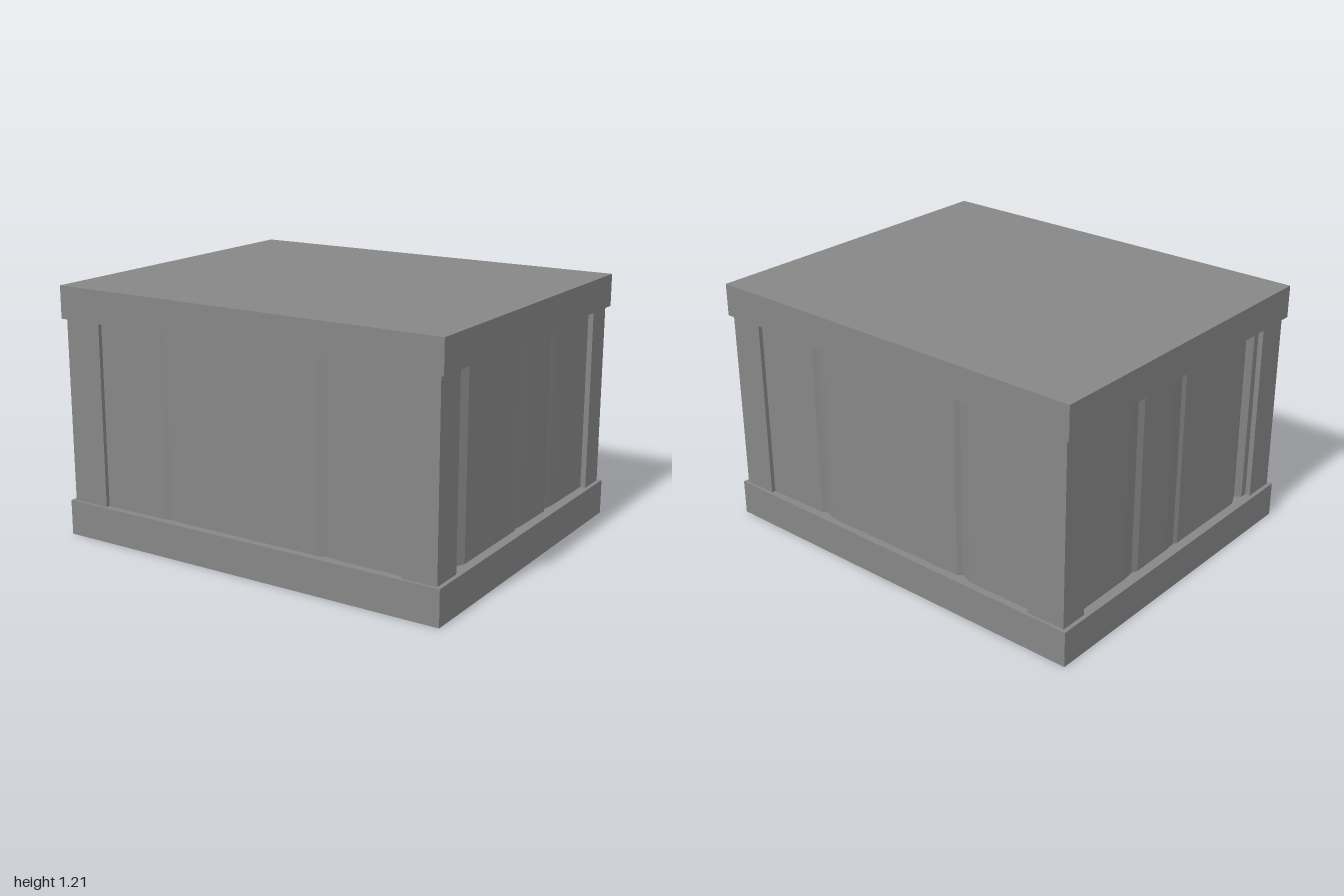
import * as THREE from 'three';

const material = new THREE.MeshStandardMaterial({ color: 0x868686, flatShading: true });

// Box given by its minimum and maximum corners
function box(name, [x0, y0, z0], [x1, y1, z1]) {
  const mesh = new THREE.Mesh(new THREE.BoxGeometry(x1 - x0, y1 - y0, z1 - z0), material);
  mesh.position.set((x0 + x1) / 2, (y0 + y1) / 2, (z0 + z1) / 2);
  mesh.name = name;
  return mesh;
}

export function createModel() {
  const group = new THREE.Group();
  group.name = 'crate';
  const low = 0.17, high = 1.05;

  group.add(box('baseSlab', [-1, 0, -0.825], [1, low, 0.825]));
  group.add(box('lidSlab', [-1, high, -0.825], [1, 1.205, 0.825]));

  // Corner posts
  for (const [x0, x1] of [[-0.98, -0.79], [0.81, 0.98]]) {
    for (const [z0, z1] of [[-0.81, -0.67], [0.65, 0.81]]) {
      group.add(box('cornerPost', [x0, low, z0], [x1, high, z1]));
    }
  }

  // Plank walls: [position along wall, depth], with a shallow uneven dip at each joint
  const frontWall = [[-0.85, 0.79], [-0.45, 0.79], [-0.42, 0.779], [-0.39, 0.783], [-0.34, 0.786],
    [0.39, 0.79], [0.43, 0.776], [0.46, 0.781], [0.5, 0.785], [0.85, 0.79]];
  const backWall = [[-0.85, 0.79], [-0.45, 0.79], [-0.39, 0.768], [-0.37, 0.785],
    [0.40, 0.79], [0.46, 0.768], [0.485, 0.785], [0.85, 0.79]];
  const sideWall = [[0.75, 0.955], [0.615, 0.955], [0.595, 0.925], [0.53, 0.955],
    [0.06, 0.955], [0.04, 0.946], [0.0, 0.95], [-0.03, 0.952], [-0.25, 0.955], [-0.28, 0.943],
    [-0.31, 0.947], [-0.35, 0.951], [-0.75, 0.955]];

  // Plan outline of the four walls, run around the box (shape y is -z)
  const outline = [
    ...frontWall.map(([x, z]) => [x, -z]),
    ...sideWall.map(([z, x]) => [x, -z]),
    ...backWall.reverse().map(([x, z]) => [x, z]),
    ...sideWall.reverse().map(([z, x]) => [-x, -z]),
  ].map(([x, y]) => new THREE.Vector2(x, y));

  const wallGeometry = new THREE.ExtrudeGeometry(new THREE.Shape(outline), {
    depth: high - low, bevelEnabled: false,
  });
  wallGeometry.rotateX(-Math.PI / 2);
  const walls = new THREE.Mesh(wallGeometry, material);
  walls.position.y = low;
  walls.name = 'plankWalls';
  group.add(walls);

  return group;
}
